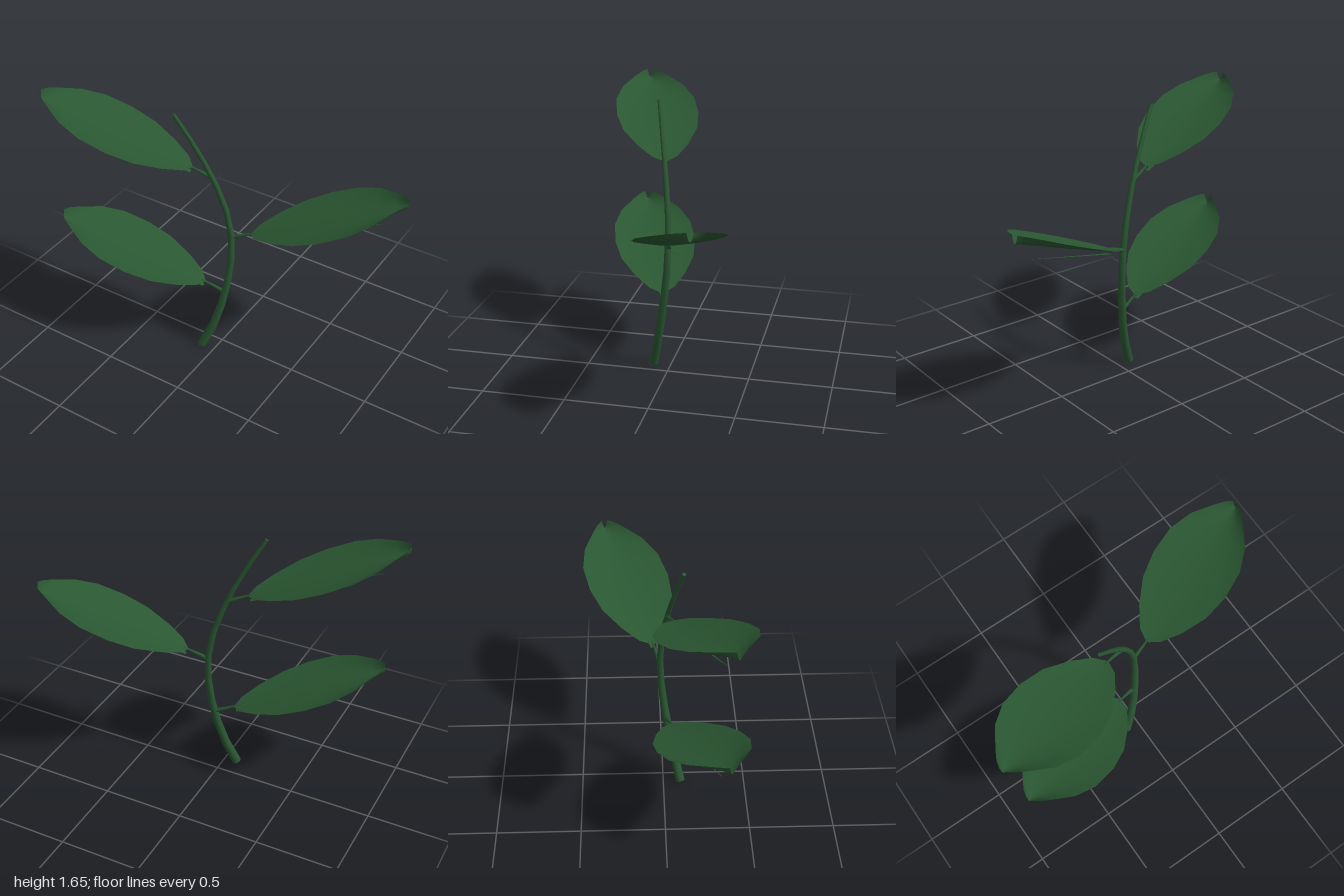
import * as THREE from 'three';

const V = (x, y, z) => new THREE.Vector3(x, y, z);

// Round tube along points, its radius going from r0 to r1, with closed ends
function taperedTube(name, points, r0, r1, rings, sides, material) {
  const group = new THREE.Group();
  group.name = name;
  const curve = new THREE.CatmullRomCurve3(points);
  const geo = new THREE.TubeGeometry(curve, rings, 1, sides);
  const pos = geo.attributes.position;
  const p = V(0, 0, 0);
  for (let i = 0; i < pos.count; i++) {
    const t = Math.floor(i / (sides + 1)) / rings;
    const c = curve.getPointAt(t);
    p.fromBufferAttribute(pos, i).sub(c).multiplyScalar(r0 + (r1 - r0) * t).add(c);
    pos.setXYZ(i, p.x, p.y, p.z);
  }
  group.add(new THREE.Mesh(geo, material));
  for (const [t, r, dir] of [[0, r0, -1], [1, r1, 1]]) {
    const cap = new THREE.Mesh(new THREE.CircleGeometry(r, sides), material);
    const c = curve.getPointAt(t);
    cap.position.copy(c);
    cap.lookAt(c.clone().addScaledVector(curve.getTangentAt(t), dir));
    group.add(cap);
  }
  return group;
}

// Grid surface from a function of row and column fractions
function gridSurface(rows, cols, pointAt) {
  const geo = new THREE.PlaneGeometry(1, 1, cols, rows);
  const pos = geo.attributes.position;
  for (let i = 0; i <= rows; i++) {
    for (let j = 0; j <= cols; j++) {
      const p = pointAt(i, j / cols * 2 - 1);
      pos.setXYZ(i * (cols + 1) + j, p.x, p.y, p.z);
    }
  }
  geo.computeVertexNormals();
  return geo;
}

// Blade stations: distance along the midrib, half width, rise of the edge
const stations = [
  [0, 0.008, 0], [0.037, 0.075, 0.006], [0.137, 0.153, 0.015], [0.275, 0.225, 0.024],
  [0.42, 0.253, 0.032], [0.574, 0.244, 0.04], [0.7, 0.19, 0.045],
  [0.8, 0.103, 0.05], [0.85, 0.055, 0.051], [0.875, 0.018, 0.05],
];
const SLOPE = 0.375;

// Point on the climbing leaf plane, level from side to side, leaf base at the origin
function onPlane(along, across, lift) {
  return V(0.943 * along + 0.33 * across, SLOPE * along + lift, -0.33 * along + 0.943 * across);
}

export function createModel() {
  const model = new THREE.Group();
  model.name = 'leafySprig';
  const green = new THREE.MeshStandardMaterial({ color: 0x2a5732, side: THREE.DoubleSide });
  green.name = 'leaf green';

  // Curved main stem
  model.add(taperedTube('stem', [
    V(-0.083, 0.009, 0.105), V(-0.012, 0.2, 0.062), V(0.033, 0.42, 0.022), V(0.054, 0.62, -0.005),
    V(0.054, 0.82, -0.016), V(0.018, 1.02, -0.006), V(-0.05, 1.22, 0.022),
    V(-0.14, 1.42, 0.06), V(-0.25, 1.62, 0.105),
  ], 0.028, 0.011, 10, 8, green));

  // Upturned blade with a shallow channel along the midrib
  const bladeGeo = gridSurface(stations.length - 1, 10, (i, u) => {
    const [s, w, rise] = stations[i];
    return onPlane(s, u * w, rise * u * u);
  });
  // Narrow rib strip hanging just below the blade
  const ribGeo = gridSurface(1, 1, (i, u) =>
    onPlane(i ? 0.74 : 0.01, u * (i ? 0.002 : 0.014), i ? -0.08 : -0.034));

  // Each leaf: base position and turn about the stem
  const leaves = [
    ['lowerRightLeaf', V(-0.09, 0.473, 0.05), Math.PI],
    ['middleLeftLeaf', V(0.168, 0.872, -0.05), 0],
    ['upperRightLeaf', V(-0.17, 1.273, 0.05), Math.PI],
  ];
  for (const [name, base, turn] of leaves) {
    const leaf = new THREE.Group();
    leaf.name = name;
    const blade = new THREE.Mesh(bladeGeo, green);
    blade.name = 'blade';
    const rib = new THREE.Mesh(ribGeo, green);
    rib.name = 'rib';
    const stalk = taperedTube('leafStalk',
      [V(-0.12, -0.054, 0.03), V(-0.06, -0.027, 0.016), V(0.02, 0.008, -0.007)], 0.014, 0.005, 3, 6, green);
    leaf.add(blade, rib, stalk);
    leaf.position.copy(base);
    leaf.rotation.y = turn;
    model.add(leaf);
  }
  return model;
}
